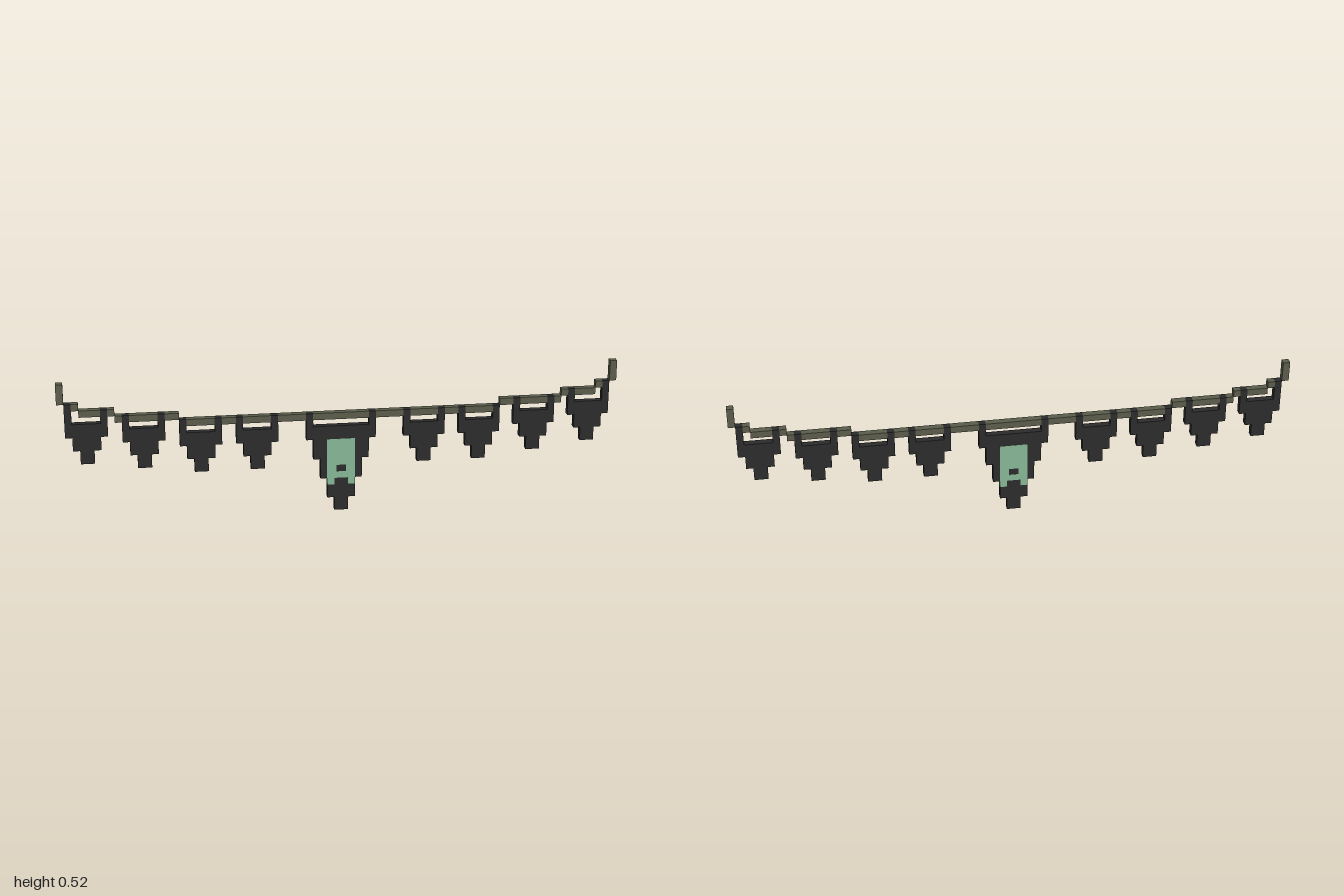
import * as THREE from 'three';

const U = 0.025; // one block

const rope = new THREE.MeshStandardMaterial({ color: 0x5a5c4b });
rope.name = 'olive rope';
const cloth = new THREE.MeshStandardMaterial({ color: 0x2b2b2b });
cloth.name = 'dark cloth';
const emblem = new THREE.MeshStandardMaterial({ color: 0x86b594 });
emblem.name = 'pale green';

// Box spanning x0..x1 and y0..y1, measured in blocks
function block(name, material, x0, x1, y0, y1, grow = 0) {
  const geometry = new THREE.BoxGeometry((x1 - x0) * U + grow, (y1 - y0) * U, U + grow);
  const mesh = new THREE.Mesh(geometry, material);
  mesh.name = name;
  mesh.position.set((x0 + x1) / 2 * U, (y0 + y1) / 2 * U, 0);
  return mesh;
}

// Stepped pennant: each tier is one block wider on each side; two loops hold it to the rope
function pennant(name, cx, bottom, tiers, innerTop, outerTop) {
  const group = new THREE.Group();
  group.name = name;
  let y = bottom;
  tiers.forEach((height, i) => {
    group.add(block('pennantTier', cloth, cx - i - 1, cx + i + 1, y, y + height));
    y += height;
  });
  const half = tiers.length;
  const leftTop = cx < 0 ? outerTop : innerTop;
  const rightTop = cx < 0 ? innerTop : outerTop;
  group.add(block('ropeLoop', cloth, cx - half, cx - half + 1, y, leftTop));
  group.add(block('ropeLoop', cloth, cx + half - 1, cx + half, y, rightTop));
  return group;
}

export function createModel() {
  const model = new THREE.Group();
  model.name = 'bunting';

  // Rope pieces between the loops: x start, x end, bottom, top
  const pieces = [
    [5, 9, 14, 15], [10, 14, 14, 15], [15, 17, 14, 15], [18, 22, 14, 15],
    [23, 25, 15, 16], [26, 30, 15, 16], [31, 32, 15, 16],
    [32, 33, 16, 17], [34, 37, 16, 17], [37, 38, 17, 18],
    [39, 40, 18, 21],
  ];
  model.add(block('ropeMiddle', rope, -4, 4, 14, 15));

  // Small pennants: centre, bottom, inner loop top, outer loop top
  const small = [[12, 7, 15, 15], [20, 7, 15, 15], [28, 8, 16, 16], [36, 9, 17, 18]];
  for (const side of [-1, 1]) {
    for (const [a, b, y0, y1] of pieces) {
      const x0 = Math.min(side * a, side * b);
      model.add(block('ropePiece', rope, x0, x0 + b - a, y0, y1));
    }
    for (const [cx, bottom, inner, outer] of small) {
      model.add(pennant('smallPennant', side * cx, bottom, [2, 2, 2], inner, outer));
    }
  }

  // Large central pennant
  const large = pennant('centralPennant', 0, 0, [2, 3, 3, 3, 2], 15, 15);

  // Emblem showing on both faces, with dark openings left in it
  const patches = [
    [-2, 2, 7, 11], [-2, -0.7, 6, 7], [0.7, 2, 6, 7],
    [-2, 2, 5, 6], [-2, -1, 4, 5], [1, 2, 4, 5],
  ];
  for (const [x0, x1, y0, y1] of patches) {
    large.add(block('emblemPatch', emblem, x0, x1, y0, y1, 0.001));
  }
  model.add(large);
  return model;
}
